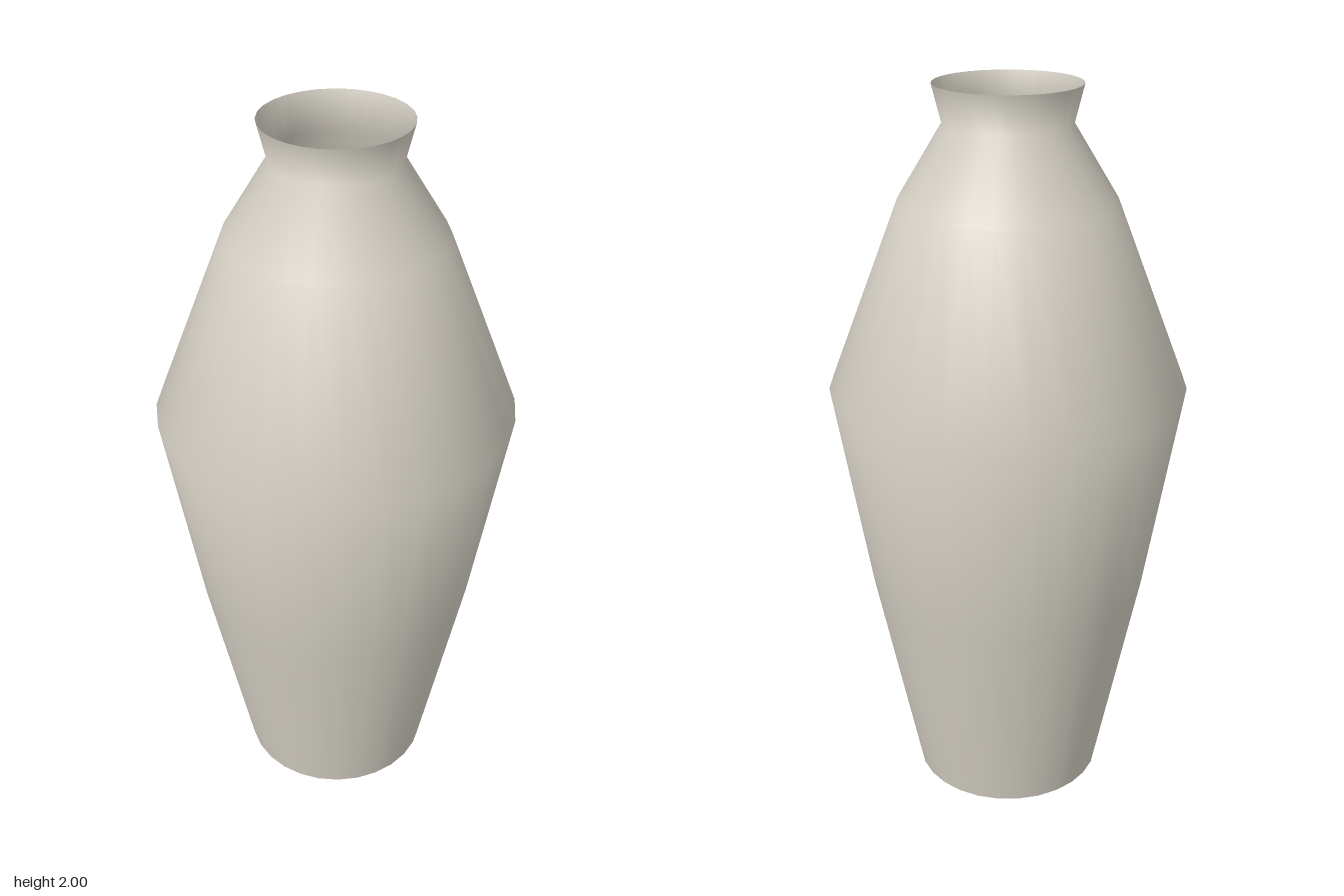
import * as THREE from 'three';

export function createModel() {
  const model = new THREE.Group();
  model.name = 'vase';
  const clay = new THREE.MeshStandardMaterial({ color: 0xd8d3c7, side: THREE.DoubleSide });
  clay.name = 'pale clay';
  const sides = 28;

  // Thin open wall: foot, lower body, belly, shoulder, neck, flared lip
  const profile = [
    [0.265, 0], [0.385, 0.6], [0.484, 1.2], [0.29, 1.7], [0.168, 1.9], [0.193, 2],
  ].map(([r, y]) => new THREE.Vector2(r, y));
  const body = new THREE.Mesh(new THREE.LatheGeometry(profile, sides), clay);
  body.name = 'body';
  model.add(body);

  // Flat floor, seen through the mouth and from below
  const base = new THREE.Mesh(new THREE.CircleGeometry(0.265, sides), clay);
  base.name = 'base';
  base.rotation.x = -Math.PI / 2;
  model.add(base);

  return model;
}
